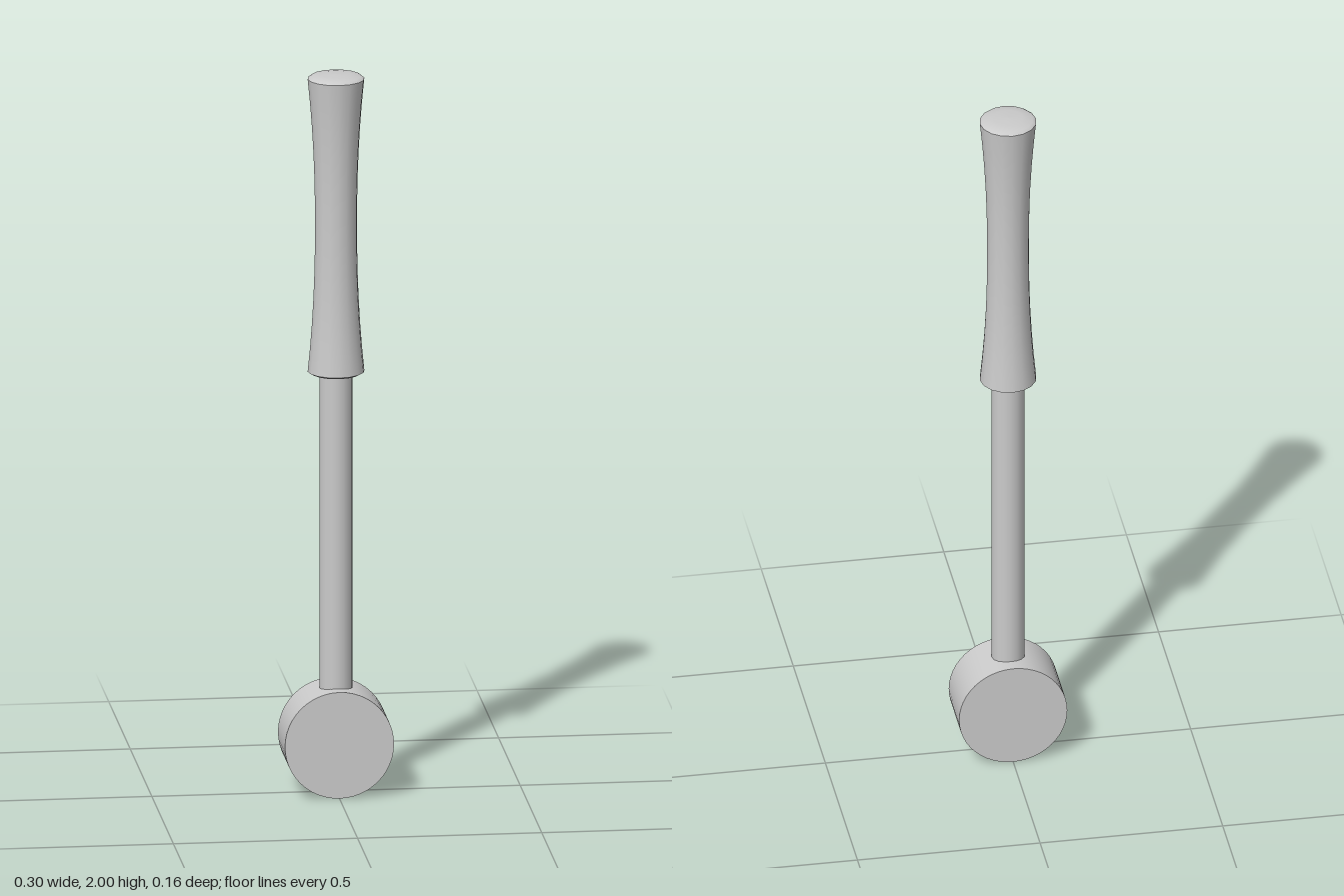
import * as THREE from 'three';

const material = new THREE.MeshStandardMaterial({ color: 0xcccccc });

export function createModel() {
  const model = new THREE.Group();

  function add(name, geometry, parent = model) {
    const mesh = new THREE.Mesh(geometry, material);
    mesh.name = name;
    parent.add(mesh);
    return mesh;
  }
  const lathe = (points) =>
    new THREE.LatheGeometry(points.map(([r, y]) => new THREE.Vector2(r, y)), 16);

  // Round striking head, its axis running front to back
  const head = add('head', new THREE.CylinderGeometry(0.148, 0.148, 0.163, 48));
  head.rotation.x = Math.PI / 2;
  head.position.y = 0.148;

  // Straight shaft from inside the head into the grip
  const shaft = add('shaft', new THREE.CylinderGeometry(0.045, 0.045, 0.96, 16));
  shaft.position.y = 0.72;

  // Waisted grip, with separate end caps to keep the rims sharp
  const grip = new THREE.Group();
  grip.name = 'grip';
  model.add(grip);
  const bottom = 1.172, top = 1.988, waist = 0.057, rim = 0.077;
  const side = [];
  for (let i = 0; i <= 12; i++) {
    const t = i / 12;
    const flare = Math.pow(Math.abs(2 * t - 1), 2.2);
    side.push([waist + (rim - waist) * flare, bottom + (top - bottom) * t]);
  }
  add('gripSide', lathe(side), grip);
  add('gripTopCap', lathe([[rim, top], [0.068, 1.995], [0.04, 1.999], [0, 2]]), grip);
  add('gripBottomCap', lathe([[0, 1.162], [0.045, 1.163], [0.066, 1.166], [rim, bottom]]), grip);

  return model;
}
